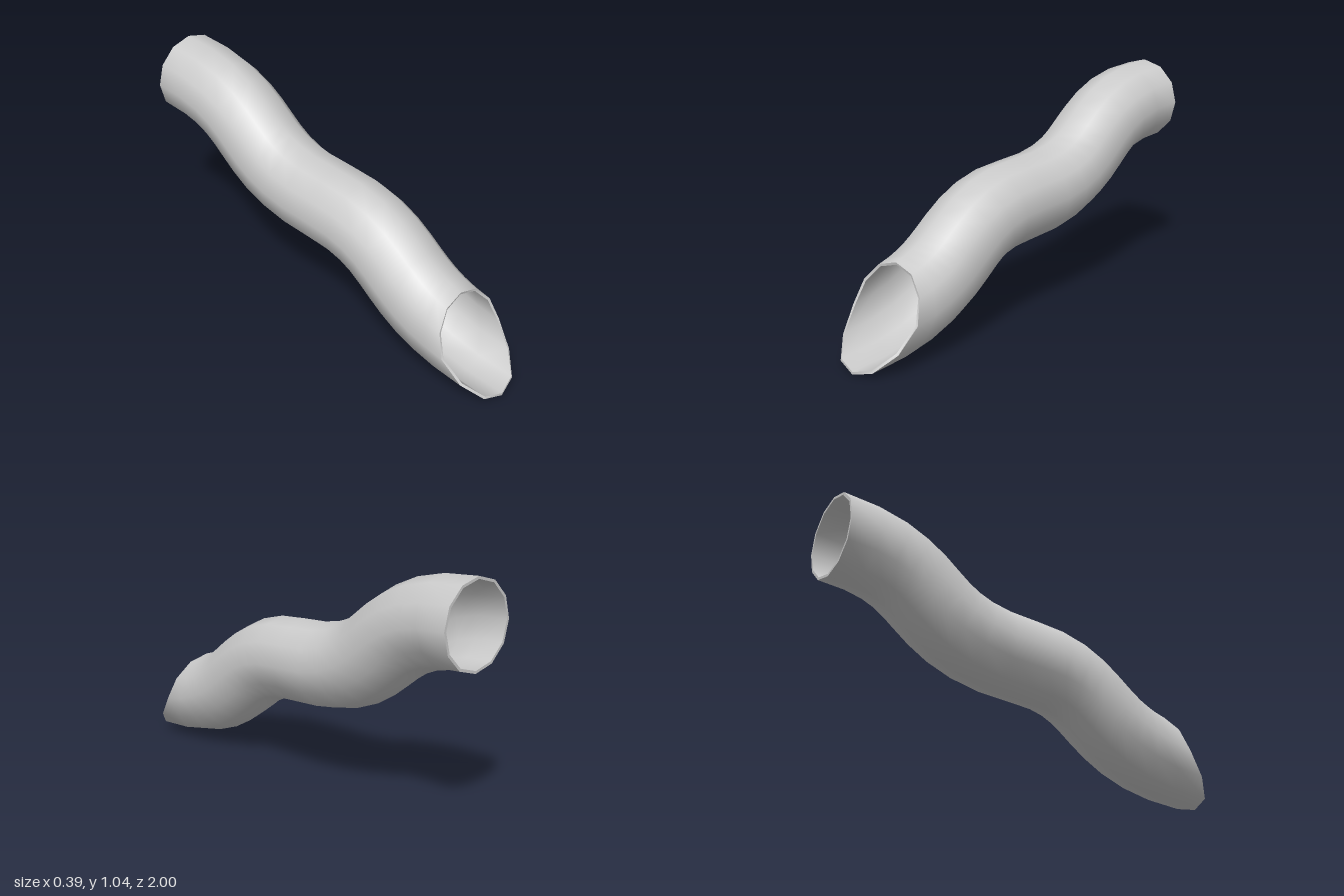
import * as THREE from 'three';

const SIDES = 12, OUTER = 0.195, INNER = 0.183;
const V = (y, z) => new THREE.Vector3(0, y, z);

// Centre line: two S-bends descending from back to front
const sBend = (y0, y1, z0, h0, h1) => new THREE.CubicBezierCurve3(
  V(y0, z0), V(y0, z0 + h0), V(y1, z0 + h1), V(y1, z0 + 1));
const bends = [sBend(0.847, 0.522, -1, 0.56, 0.38), sBend(0.522, 0.196, 0, 0.47, 0.345)];

// Point on the wall: u runs 0..2 along the pipe, a is the angle from the top
function wallPoint(u, a, r) {
  const bend = bends[u < 1 ? 0 : 1], t = u < 1 ? u : u - 1;
  const c = bend.getPoint(t), d = bend.getTangent(t);
  const up = r * Math.cos(a);
  return new THREE.Vector3(r * Math.sin(a), c.y + up * d.z, c.z - up * d.y);
}

// Curved slanting cut at the front mouth: z as a function of height
const cut = [[0, 1], [0.03, 0.975], [0.1, 0.9], [0.2, 0.815], [0.3, 0.775], [0.39, 0.747], [0.415, 0.742]];
function cutZ(y) {
  let k = 0;
  while (k < cut.length - 2 && y > cut[k + 1][0]) k++;
  const [y0, z0] = cut[k], [y1, z1] = cut[k + 1];
  return z0 + (z1 - z0) * (y - y0) / (y1 - y0);
}

// Where a lengthwise line of the outer wall meets the cut
function cutU(a) {
  let lo = 1.5, hi = 2;
  for (let i = 0; i < 30; i++) {
    const mid = (lo + hi) / 2, p = wallPoint(mid, a, OUTER);
    if (p.z < cutZ(p.y)) lo = mid; else hi = mid;
  }
  return lo;
}

// Rings from back to front; the last few ease into the cut
function wallRings(r) {
  const rings = [];
  for (let i = 0; i <= 20; i++) {
    const ring = [];
    for (let j = 0; j < SIDES; j++) {
      const a = (j / SIDES) * Math.PI * 2;
      const u = i <= 15 ? i / 10 : 1.5 + (cutU(a) - 1.5) * (i - 15) / 5;
      ring.push(wallPoint(u, a, r));
    }
    rings.push(ring);
  }
  return rings;
}

// Skin a list of closed rings
function skin(name, rings, material, flip = false) {
  const index = [];
  for (let i = 0; i < rings.length - 1; i++) {
    for (let j = 0; j < SIDES; j++) {
      const k = (j + 1) % SIDES;
      const a = i * SIDES + j, b = i * SIDES + k, c = a + SIDES, d = b + SIDES;
      if (flip) index.push(a, b, c, b, d, c);
      else index.push(a, c, b, b, c, d);
    }
  }
  const geometry = new THREE.BufferGeometry().setFromPoints(rings.flat());
  geometry.setIndex(index);
  geometry.computeVertexNormals();
  const mesh = new THREE.Mesh(geometry, material);
  mesh.name = name;
  return mesh;
}

export function createModel() {
  const group = new THREE.Group();
  group.name = 'wavyPipe';
  const material = new THREE.MeshStandardMaterial({ color: 0xcccccc });
  const outer = wallRings(OUTER), inner = wallRings(INNER);
  group.add(
    skin('outerWall', outer, material),
    skin('innerWall', inner, material, true),
    skin('frontRim', [outer.at(-1), inner.at(-1)], material),
    skin('backRim', [inner[0], outer[0]], material));
  return group;
}
